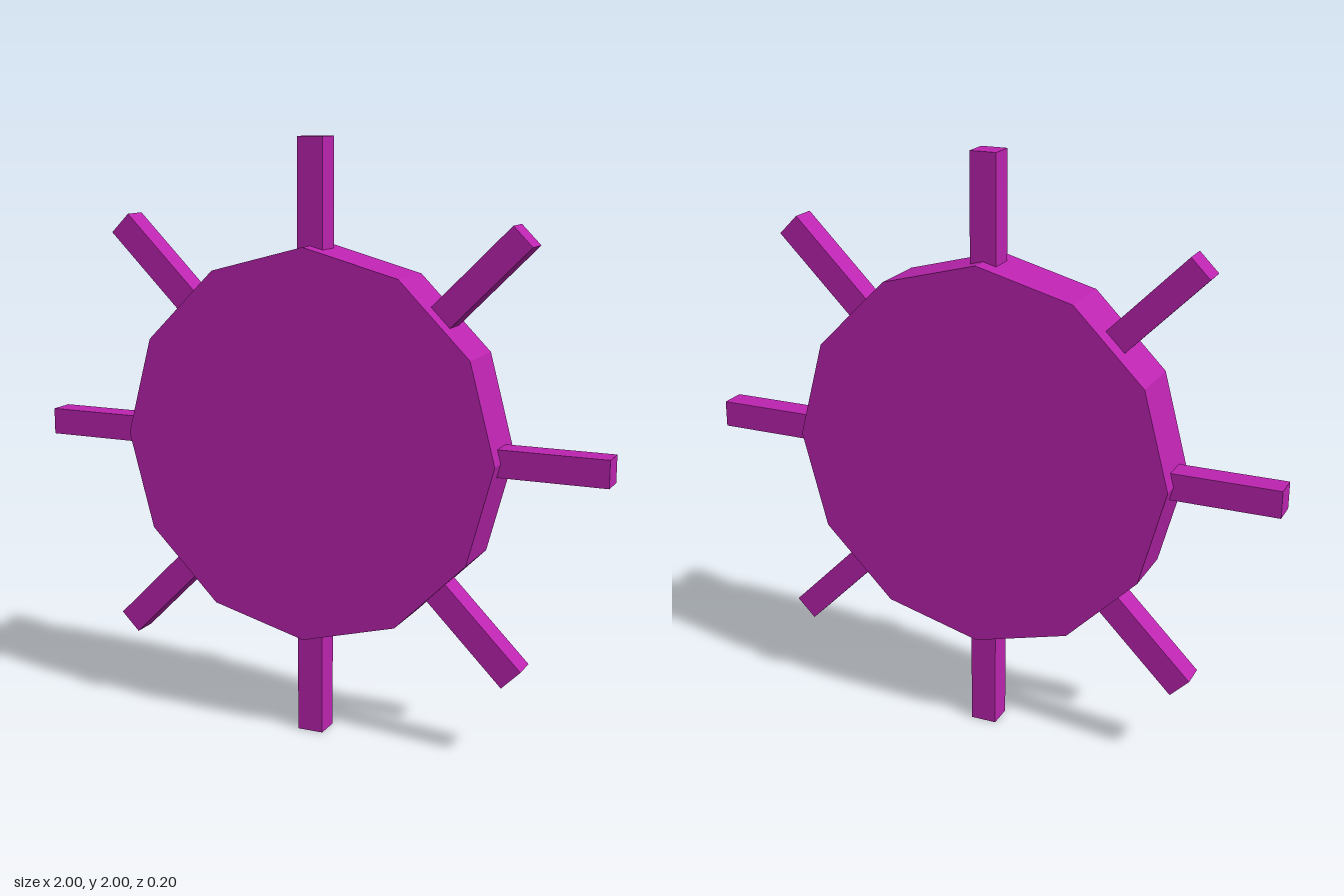
import * as THREE from 'three';

export function createModel() {
  const model = new THREE.Group();
  const purple = new THREE.MeshStandardMaterial({ color: 0xbc24b0, flatShading: true });
  purple.name = 'purple';

  // Twelve-sided disc with a corner at the top
  const discGeometry = new THREE.CylinderGeometry(0.655, 0.655, 0.204, 12);
  discGeometry.rotateX(Math.PI / 2);
  const disc = new THREE.Mesh(discGeometry, purple);
  disc.name = 'disc';
  disc.position.y = 1;
  model.add(disc);

  // Eight square pegs, rooted inside the disc
  const inner = 0.5, outer = 1;
  const pegGeometry = new THREE.BoxGeometry(0.09, outer - inner, 0.088);
  pegGeometry.translate(0, (inner + outer) / 2, 0);
  for (let i = 0; i < 8; i++) {
    const peg = new THREE.Mesh(pegGeometry, purple);
    peg.name = `peg${i + 1}`;
    peg.position.y = 1;
    peg.rotation.z = (i * Math.PI) / 4;
    model.add(peg);
  }

  return model;
}
